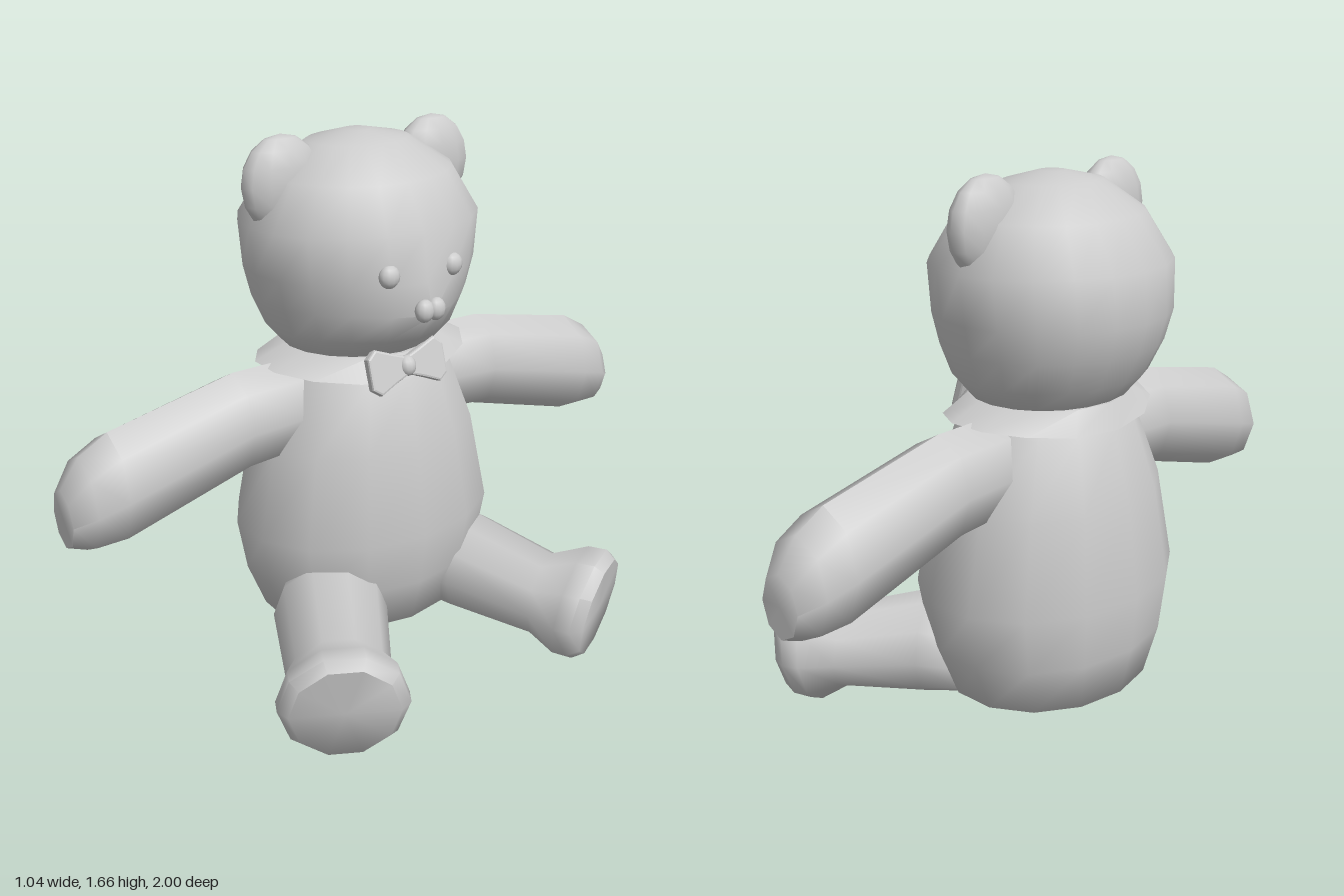
import * as THREE from 'three';
import { toCreasedNormals } from 'three/addons/utils/BufferGeometryUtils.js';

const V = (x, y, z) => new THREE.Vector3(x, y, z);
const material = new THREE.MeshStandardMaterial({ color: 0xcccccc });

// Closed skin over elliptical rings; each ring is { c, u, v } with u x v along the path
function loft(rings, sides, deform, crease = 0.95) {
  const pos = [], index = [];
  rings.forEach(({ c, u, v }) => {
    for (let j = 0; j < sides; j++) {
      const a = (j / sides) * Math.PI * 2;
      const p = c.clone().addScaledVector(u, Math.cos(a)).addScaledVector(v, Math.sin(a));
      if (deform) deform(p);
      pos.push(p.x, p.y, p.z);
    }
  });
  const n = rings.length, start = n * sides, end = start + 1;
  pos.push(...rings[0].c.toArray(), ...rings[n - 1].c.toArray());
  for (let j = 0; j < sides; j++) {
    const k = (j + 1) % sides;
    for (let i = 0; i < n - 1; i++) {
      const a = i * sides, b = a + sides;
      index.push(a + j, a + k, b + k, a + j, b + k, b + j);
    }
    index.push(start, k, j, end, start - sides + j, start - sides + k);
  }
  const g = new THREE.BufferGeometry();
  g.setAttribute('position', new THREE.Float32BufferAttribute(pos, 3));
  g.setIndex(index);
  return toCreasedNormals(g, crease);
}

// Horizontal ring from height, centre x, half depth and half width
const level = ([y, x, hx, hz]) => ({ c: V(x, y, 0), u: V(hx, 0, 0), v: V(0, 0, -hz) });

// Upright ring across a horizontal limb direction; lean shifts its lower edge back
function limbRing(c, dir, halfWidth, halfHeight, lean = 0) {
  const up = V(0, 1, 0);
  return {
    c,
    u: up.clone().cross(dir).multiplyScalar(halfWidth),
    v: up.multiplyScalar(halfHeight).addScaledVector(dir, lean),
  };
}

export function createModel() {
  const bear = new THREE.Group();
  bear.name = 'teddyBear';
  const add = (name, geometry, parent = bear) => {
    const mesh = new THREE.Mesh(geometry, material);
    mesh.name = name;
    parent.add(mesh);
    return mesh;
  };
  const ball = (name, center, radii, parent) => {
    const mesh = add(name, new THREE.SphereGeometry(1, 12, 8), parent);
    mesh.position.copy(center);
    mesh.scale.copy(radii);
    return mesh;
  };

  // Pear-shaped body
  add('body', loft([
    [0.07, -0.175, 0.13, 0.15], [0.15, -0.185, 0.285, 0.34], [0.3, -0.18, 0.325, 0.4],
    [0.47, -0.175, 0.345, 0.43], [0.75, -0.175, 0.305, 0.37],
    [0.96, -0.17, 0.25, 0.28], [1.03, -0.17, 0.2, 0.22],
  ].map(level), 14));

  // Collar, its outer edge lifted over the shoulders
  add('collar', loft([
    [0.95, -0.175, 0.22, 0.24], [0.965, -0.175, 0.26, 0.35], [1.035, -0.175, 0.225, 0.25],
  ].map(level), 14, p => {
    if (p.y < 1) p.y += 0.03 * Math.min(1, (p.z / 0.33) ** 2);
  }, 0.8));

  // Head with the muzzle drawn forward
  add('head', loft([
    [1.0, -0.17, 0.15, 0.15], [1.04, -0.18, 0.22, 0.25], [1.1, -0.18, 0.27, 0.3],
    [1.19, -0.185, 0.31, 0.335], [1.28, -0.185, 0.335, 0.355], [1.42, -0.18, 0.33, 0.37],
    [1.55, -0.175, 0.25, 0.29], [1.635, -0.18, 0.13, 0.16], [1.66, -0.18, 0.04, 0.04],
  ].map(level), 20, p => {
    if (p.x > -0.1) p.x += 0.07 * Math.exp(-(((p.y - 1.175) / 0.09) ** 2) - (p.z / 0.13) ** 2);
  }));

  // Bow tie, tilted forward at the bottom
  const bow = new THREE.Group();
  bow.name = 'bowTie';
  bow.position.set(0.065, 1.0, 0);
  bow.rotation.z = 0.3;
  bear.add(bow);
  const loop = new THREE.Shape([
    [0, -0.02], [0.05, -0.038], [0.105, -0.062], [0.128, -0.045], [0.128, 0.04],
    [0.105, 0.06], [0.05, 0.038], [0, 0.02],
  ].map(([x, y]) => new THREE.Vector2(x, y)));
  const loopGeometry = new THREE.ExtrudeGeometry(loop, {
    depth: 0.016, bevelThickness: 0.007, bevelSize: 0.007, bevelSegments: 2,
  }).translate(0, 0, -0.008);
  ball('bowKnot', V(0.005, 0, 0), V(0.026, 0.032, 0.028), bow);

  for (const s of [1, -1]) {
    // Arms slope down and out to blunt paws
    const out = V(0, 0, s);
    add('arm', loft([
      [0.16, 0.86, 0.1, 0.11], [0.25, 0.855, 0.12, 0.15], [0.45, 0.845, 0.12, 0.157],
      [0.85, 0.745, 0.127, 0.172], [0.94, 0.72, 0.115, 0.145], [1.0, 0.69, 0.07, 0.09],
    ].map(([z, y, w, h]) => limbRing(V(-0.175, y, z * s), out, w, h)), 8));

    // Legs point forward and outward, flaring to flat soles
    const dir = V(0.885, 0, 0.466 * s).normalize();
    add('leg', loft([
      [-0.62, 0.23, 0.09, 0.08, 0], [-0.56, 0.235, 0.15, 0.135, 0], [-0.45, 0.245, 0.175, 0.157, 0],
      [-0.18, 0.19, 0.155, 0.128, 0], [-0.08, 0.19, 0.192, 0.182, 0.02],
      [-0.03, 0.19, 0.19, 0.185, 0.03], [0.005, 0.19, 0.16, 0.16, 0.025],
    ].map(([t, y, w, h, lean]) =>
      limbRing(V(0.445, y, 0.48 * s).addScaledVector(dir, t), dir, w, h, lean)), 10));

    // Face and ears
    ball('ear', V(-0.175, 1.535, 0.263 * s), V(0.065, 0.14, 0.13));
    ball('eye', V(0.135, 1.31, 0.11 * s), V(0.026, 0.034, 0.033));
    ball('nose', V(0.18, 1.205, 0.02 * s), V(0.025, 0.034, 0.03));

    const side = add('bowLoop', loopGeometry, bow);
    side.rotation.y = -s * Math.PI / 2;
  }
  return bear;
}
